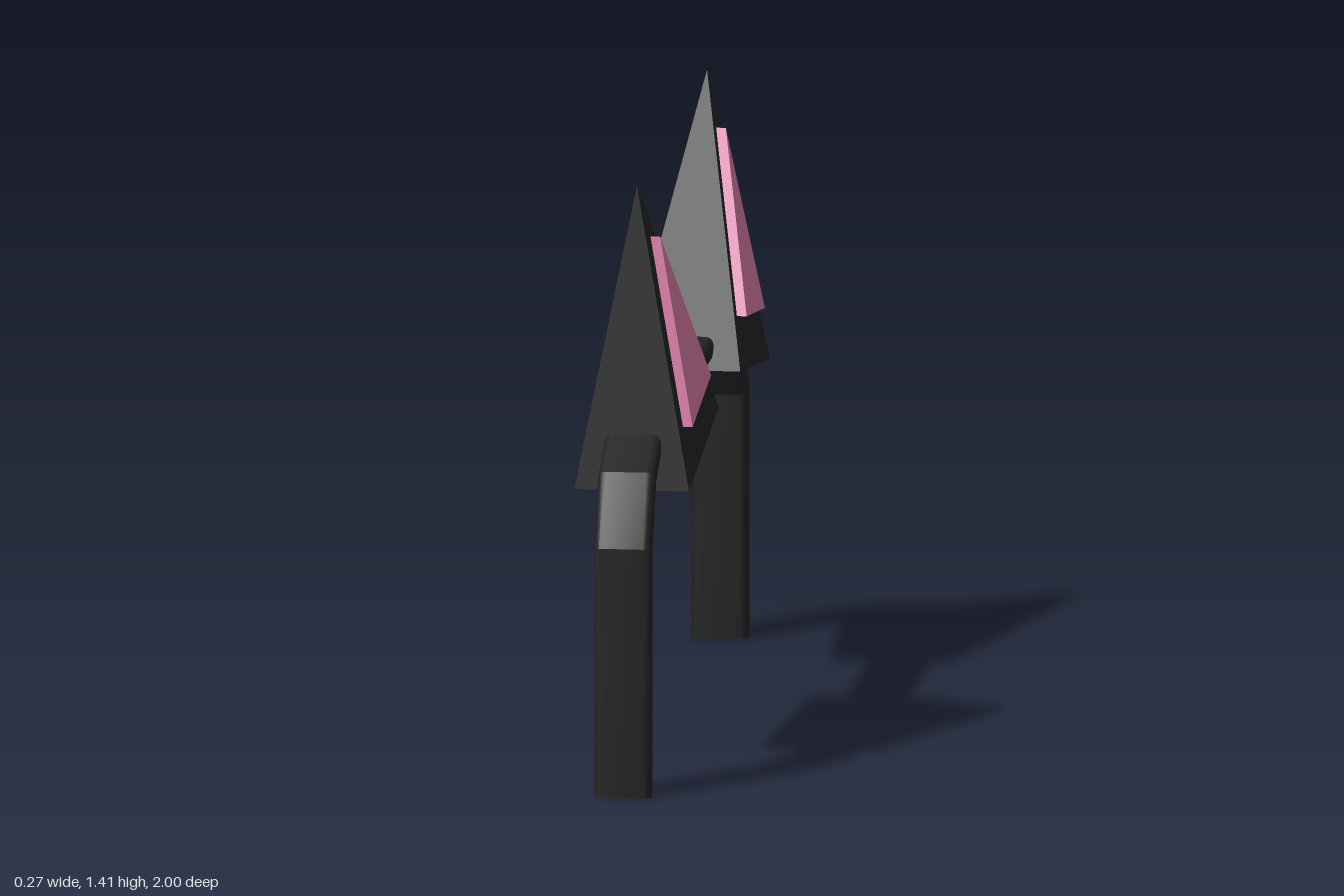
import * as THREE from 'three';
import { toCreasedNormals } from 'three/addons/utils/BufferGeometryUtils.js';
import { ConvexGeometry } from 'three/addons/geometries/ConvexGeometry.js';

const black = new THREE.MeshStandardMaterial({ color: 0x232323 });
black.name = 'black';
const pink = new THREE.MeshStandardMaterial({ color: 0xd97da8 });
pink.name = 'pink';

function addMesh(parent, name, geometry, material) {
  const mesh = new THREE.Mesh(geometry, material);
  mesh.name = name;
  parent.add(mesh);
}

// Rounded rectangle outline, counter-clockwise in (x, thickness)
function bandSection(w, h, r, steps = 4) {
  const pts = [];
  [[1, 1], [-1, 1], [-1, -1], [1, -1]].forEach(([sx, sy], q) => {
    for (let i = 0; i <= steps; i++) {
      const a = (q + i / steps) * Math.PI / 2;
      pts.push([sx * (w - r) + r * Math.cos(a), sy * (h - r) + r * Math.sin(a)]);
    }
  });
  return pts;
}

// Flat strap swept over the head with mitred bends
function bandGeometry() {
  const half = [[0.972, 0], [0.972, 0.59], [0.9, 0.745], [0.735, 0.828]];
  const path = [...half, ...half.map(([z, y]) => [-z, y]).reverse()]
    .map(([z, y]) => new THREE.Vector2(z, y));
  const section = bandSection(0.068, 0.0275, 0.02);
  const n = section.length, last = path.length - 1;
  const pos = [], idx = [];
  path.forEach((p, i) => {
    const before = path[Math.max(i, 1)].clone().sub(path[Math.max(i, 1) - 1]).normalize();
    const k = Math.min(i, last - 1);
    const after = path[k + 1].clone().sub(path[k]).normalize();
    const t = before.clone().add(after).normalize();
    const miter = 1 / t.dot(after);
    for (const [x, u] of section) pos.push(x, p.y - t.x * u * miter, p.x + t.y * u * miter);
  });
  for (let i = 0; i < last; i++) {
    for (let j = 0; j < n; j++) {
      const a = i * n + j, b = i * n + (j + 1) % n;
      idx.push(a, a + n, b, b, a + n, b + n);
    }
  }
  // End caps
  for (let j = 1; j < n - 1; j++) {
    idx.push(0, j, j + 1, last * n, last * n + j + 1, last * n + j);
  }
  const g = new THREE.BufferGeometry();
  g.setAttribute('position', new THREE.Float32BufferAttribute(pos, 3));
  g.setIndex(idx);
  return toCreasedNormals(g, 0.42);
}

// Tilted pyramid ear with a raised inner panel on its +x face
function makeEar(name, s) {
  const ear = new THREE.Group();
  ear.name = name;
  const v = (x, y, z) => new THREE.Vector3(x, y, z * s);
  const w = 0.136;
  const apex = v(0, 1.41, 0.705), outer = v(w, 0.7, 0.81), inner = v(w, 0.785, 0.218);
  addMesh(ear, 'earShell', new ConvexGeometry([
    apex, outer, inner, v(-w, 0.7, 0.81), v(-w, 0.785, 0.218),
  ]), black);

  const plane = new THREE.Plane().setFromCoplanarPoints(apex, outer, inner);
  const onFace = (y, z, lift) => {
    const p = v(0, y, z);
    p.x = -plane.distanceToPoint(p) / plane.normal.x + lift;
    return p;
  };
  const panel = [];
  for (const lift of [-0.004, 0.023]) {
    for (const [y, z] of [[1.28, 0.66], [0.838, 0.725], [0.89, 0.357]]) panel.push(onFace(y, z, lift));
  }
  addMesh(ear, 'innerEar', new ConvexGeometry(panel), pink);
  return ear;
}

export function createModel() {
  const model = new THREE.Group();
  model.name = 'earHeadband';
  addMesh(model, 'headband', bandGeometry(), black);
  model.add(makeEar('frontEar', 1), makeEar('backEar', -1));
  return model;
}
